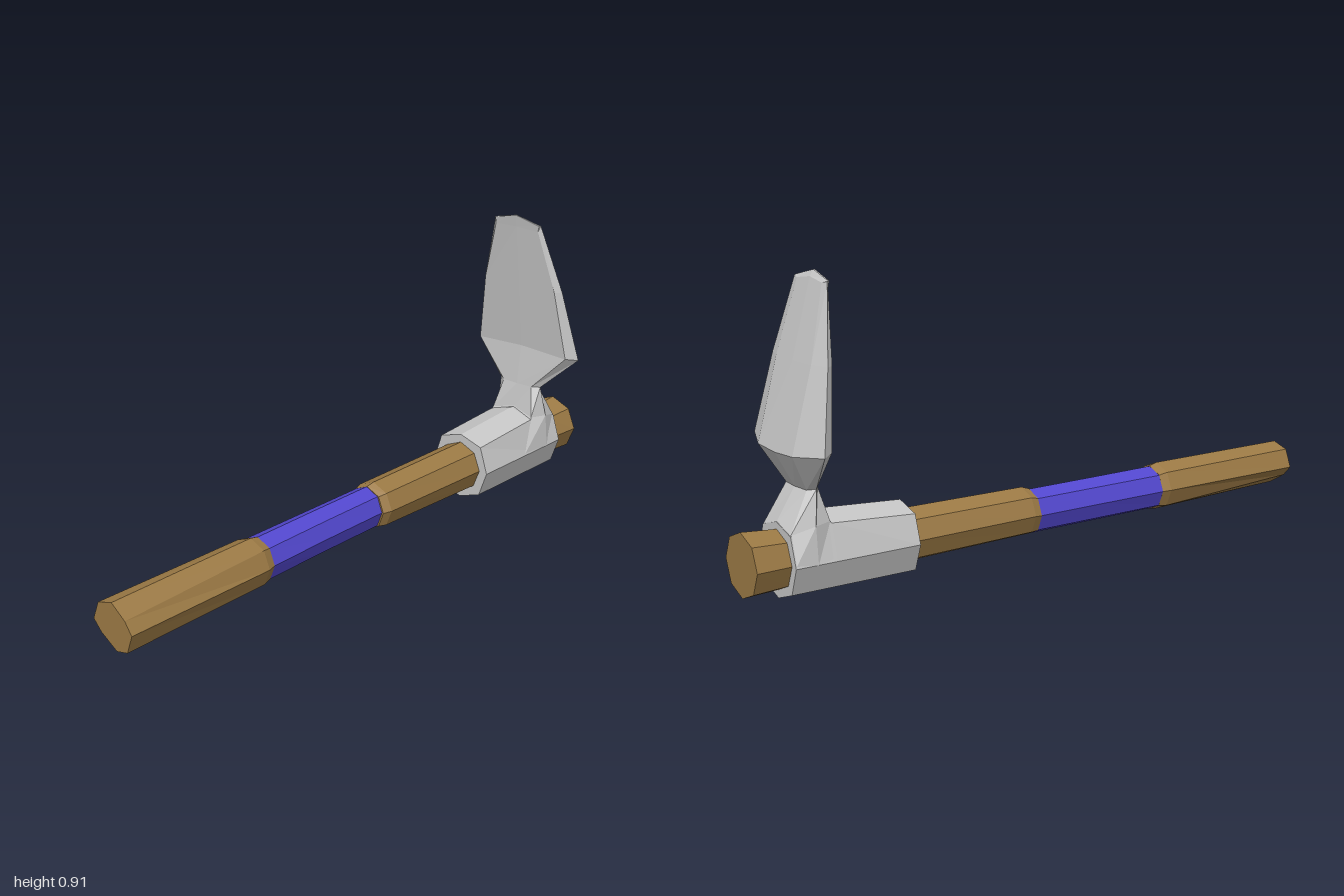
import * as THREE from 'three';

const wood = new THREE.MeshStandardMaterial({ color: 0x9c7a45 });
wood.name = 'wood';
const wrap = new THREE.MeshStandardMaterial({ color: 0x5348d0 });
wrap.name = 'blueWrap';
const metal = new THREE.MeshStandardMaterial({ color: 0xc6c6c6 });
metal.name = 'metal';

// Faceted, capped skin over closed rings, each counter-clockwise seen from the last ring's side
function loft(name, rings, material) {
  const n = rings[0].length;
  const pos = rings.flat(2);
  const index = [];
  for (let i = 0; i < rings.length - 1; i++) {
    for (let j = 0; j < n; j++) {
      const a = i * n + j, b = i * n + (j + 1) % n;
      index.push(a, b, b + n, a, b + n, a + n);
    }
  }
  const last = (rings.length - 1) * n;
  for (let j = 1; j < n - 1; j++) {
    index.push(0, j + 1, j);
    index.push(last, last + j, last + j + 1);
  }
  const indexed = new THREE.BufferGeometry();
  indexed.setAttribute('position', new THREE.Float32BufferAttribute(pos, 3));
  indexed.setIndex(index);
  const geometry = indexed.toNonIndexed();
  geometry.computeVertexNormals();
  const mesh = new THREE.Mesh(geometry, material);
  mesh.name = name;
  return mesh;
}

// Octagon across the shaft with a corner at the top
function octagon(z, rx, ry = rx, y = 0.114, x = 0) {
  return Array.from({ length: 8 }, (_, i) => {
    const a = i * Math.PI / 4;
    return [x + rx * Math.cos(a), y + ry * Math.sin(a), z];
  });
}

// Blade section: front edge, outer edge and back edge, mirrored across x = 0
function bladeRing(front, side, back, frontMid, backMid) {
  const mirror = ([x, y, z]) => [-x, y, z];
  return [side, back, [0, ...backMid], mirror(back), mirror(side),
    mirror(front), [0, ...frontMid], front];
}

export function createModel() {
  const model = new THREE.Group();
  model.name = 'pickTool';

  // Shaft: rear butt through the head up to the wrap
  model.add(loft('upperShaft', [
    octagon(-1, 0.096, 0.095, 0.116),
    octagon(-0.89, 0.086, 0.088),
    octagon(-0.49, 0.08, 0.082),
    octagon(-0.06, 0.077, 0.076, 0.117, -0.002),
    octagon(-0.035, 0.068, 0.071, 0.114, -0.006),
  ], wood));

  model.add(loft('gripWrap', [
    octagon(-0.045, 0.064, 0.07, 0.114, -0.008),
    octagon(0.2, 0.065, 0.07, 0.114, -0.007),
    octagon(0.465, 0.069, 0.07, 0.114, -0.004),
  ], wrap));

  // Lower shaft with an unevenly worn end
  const wornEnd = [[0.078, 0.115], [0.052, 0.152], [0, 0.19], [-0.057, 0.172],
    [-0.08, 0.114], [-0.05, 0.082], [0.012, 0.045], [0.056, 0.056]];
  model.add(loft('lowerShaft', [
    octagon(0.445, 0.069, 0.071, 0.114, -0.004),
    octagon(0.475, 0.077, 0.077, 0.115, -0.002),
    wornEnd.map(([x, y]) => [x, y, 1]),
  ], wood));

  // Socket around the shaft
  const socket = [[0.11, 0.112], [0.082, 0.198], [0, 0.223], [-0.082, 0.198],
    [-0.11, 0.112], [-0.08, 0.03], [0, 0.002], [0.08, 0.03]];
  model.add(loft('socket', [-0.89, -0.76, -0.49].map((z) =>
    socket.map(([x, y]) => [x, z === -0.76 && y > 0.15 ? y + 0.018 : y, z])), metal));

  // Neck rising from the socket
  const neckTop = bladeRing([0.058, 0.32, -0.79], [0.083, 0.32, -0.807], [0.06, 0.315, -0.825],
    [0.32, -0.787], [0.315, -0.83]);
  model.add(loft('neck', [
    bladeRing([0.108, 0.115, -0.7], [0.11, 0.112, -0.82], [0.108, 0.115, -0.889],
      [0.115, -0.7], [0.115, -0.889]),
    bladeRing([0.08, 0.222, -0.765], [0.1, 0.22, -0.82], [0.08, 0.2, -0.889],
      [0.242, -0.775], [0.222, -0.889]),
    neckTop,
  ], metal));

  // Broad leaf-shaped blade
  model.add(loft('blade', [
    neckTop,
    bladeRing([0.178, 0.442, -0.808], [0.205, 0.435, -0.845], [0.1, 0.425, -0.887],
      [0.452, -0.803], [0.42, -0.888]),
    bladeRing([0.142, 0.67, -0.781], [0.158, 0.67, -0.803], [0.1, 0.67, -0.822],
      [0.67, -0.778], [0.67, -0.825]),
    bladeRing([0.085, 0.87, -0.756], [0.092, 0.89, -0.762], [0.07, 0.885, -0.767],
      [0.873, -0.754], [0.895, -0.765]),
    bladeRing([0.086, 0.891, -0.753], [0.09, 0.892, -0.755], [0.07, 0.896, -0.757],
      [0.913, -0.748], [0.913, -0.753]),
  ], metal));

  return model;
}
